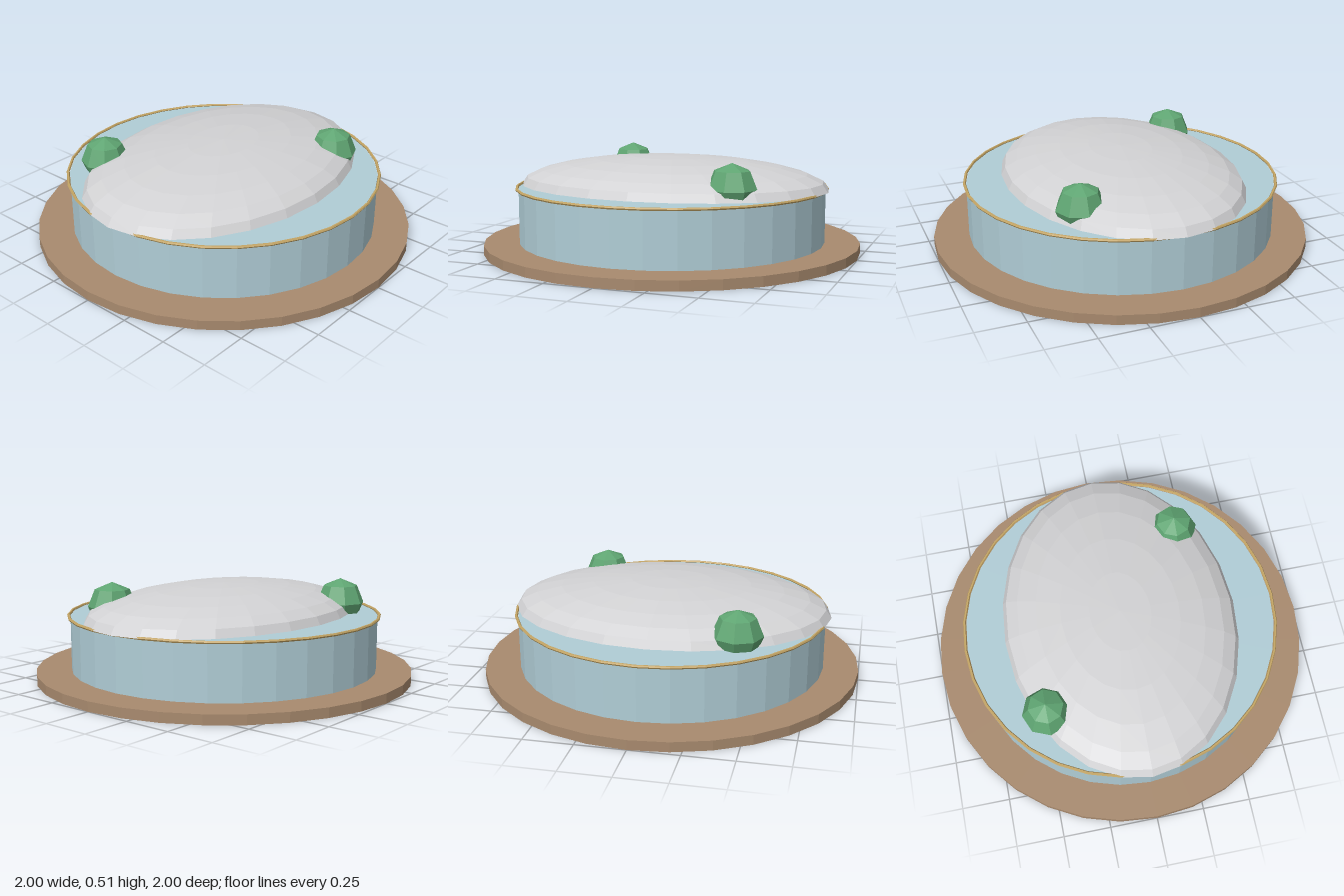
import * as THREE from 'three';

const material = (name, color, options = {}) => {
  const m = new THREE.MeshStandardMaterial({ color, flatShading: true, ...options });
  m.name = name;
  return m;
};

export function createModel() {
  const group = new THREE.Group();
  const brown = material('earth brown', 0xa88a6e);
  const blue = material('pale blue', 0xb0cdd6);
  const gold = material('gold trim', 0xc4a565);
  const grey = material('light grey', 0xd2d2d4, { side: THREE.DoubleSide });
  const green = material('leaf green', 0x5fa572);

  const add = (name, geometry, mat, x, y, z) => {
    const mesh = new THREE.Mesh(geometry, mat);
    mesh.name = name;
    mesh.position.set(x, y, z);
    group.add(mesh);
    return mesh;
  };

  // Round base and closed drum wall
  add('base', new THREE.CylinderGeometry(1, 1, 0.05, 32), brown, 0, 0.025, 0);
  add('drum', new THREE.CylinderGeometry(0.815, 0.815, 0.285, 32), blue, 0, 0.1925, 0);

  // Thin trim around the drum's top edge
  const rim = new THREE.TorusGeometry(0.824, 0.008, 6, 32).rotateX(Math.PI / 2);
  add('rim', rim, gold, 0, 0.337, 0);

  // Oval roof: the upper half of a flattened sphere
  const dome = new THREE.SphereGeometry(1, 24, 6, 0, Math.PI * 2, 0, Math.PI / 2);
  dome.scale(0.845, 0.162, 0.615);
  add('roofDome', dome, grey, 0, 0.336, 0);

  // Faceted bushes sunk into the roof
  const bush = new THREE.SphereGeometry(0.128, 8, 4);
  add('frontBush', bush, green, 0.455, 0.387, 0.383);
  add('backBush', bush, green, -0.42, 0.387, -0.463);

  return group;
}
